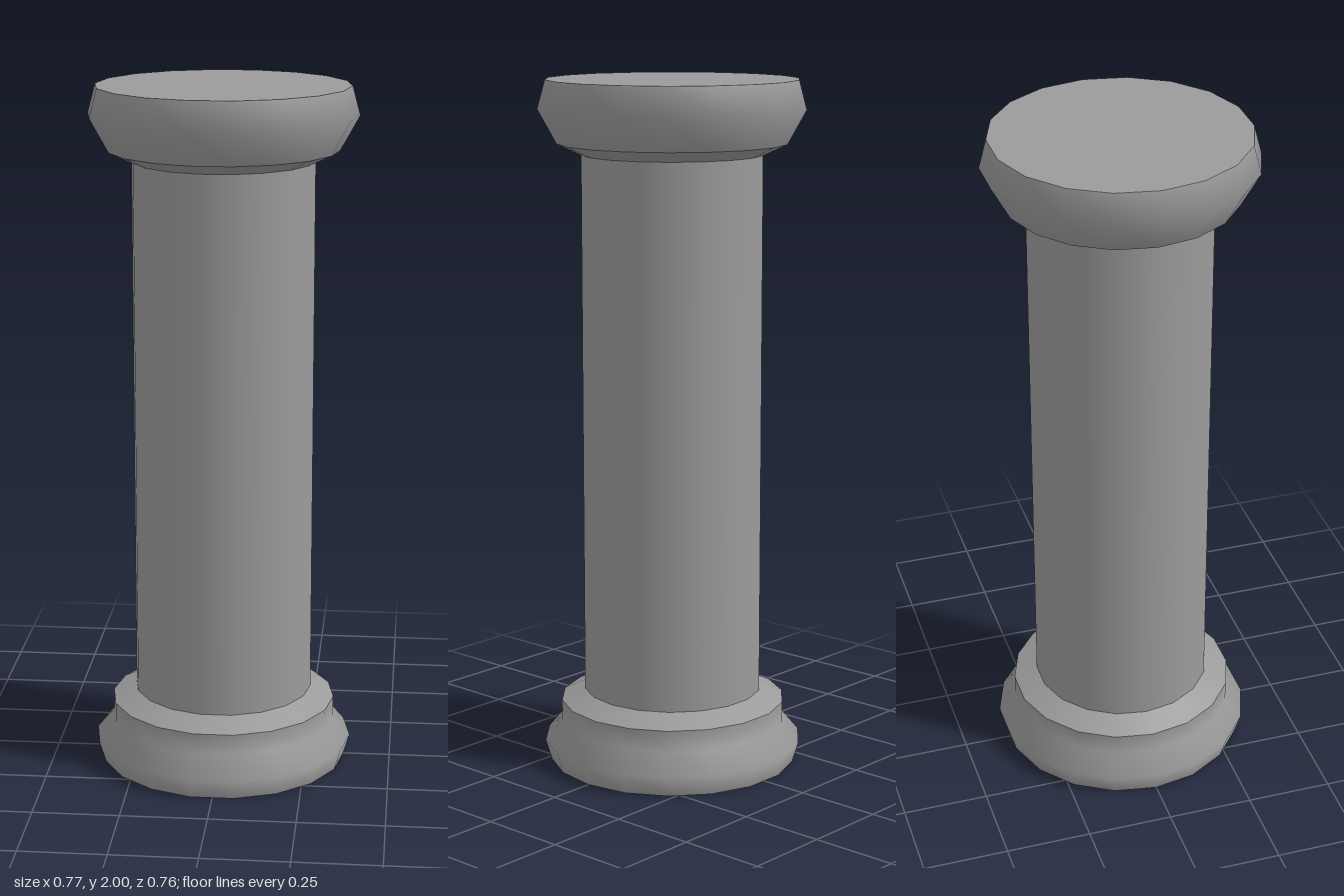
import * as THREE from 'three';

const SIDES = 18;

export function createModel() {
  const column = new THREE.Group();
  column.name = 'column';
  const material = new THREE.MeshStandardMaterial({ color: 0x9b9b9b, side: THREE.DoubleSide });

  // Turned band from [radius, height] points, smooth within itself, creased against its neighbours
  function band(name, points) {
    const profile = points.map(([r, y]) => new THREE.Vector2(r, y));
    const geometry = new THREE.LatheGeometry(profile, SIDES, Math.PI / 2);
    geometry.normalizeNormals();
    const mesh = new THREE.Mesh(geometry, material);
    mesh.name = name;
    column.add(mesh);
  }

  // Hollow base, open underneath
  band('baseMoulding', [[0.362, 0], [0.38, 0.06], [0.33, 0.12], [0.33, 0.182]]);
  band('baseLedge', [[0.33, 0.182], [0.261, 0.215]]);

  // Shaft
  band('shaft', [[0.261, 0.215], [0.261, 1.788]]);

  // Capital
  band('capitalUnderside', [[0.261, 1.788], [0.33, 1.82]]);
  band('capitalMoulding', [[0.33, 1.82], [0.384, 1.918], [0.362, 2]]);

  // Flat top
  const top = new THREE.Mesh(new THREE.CircleGeometry(0.362, SIDES).rotateX(-Math.PI / 2), material);
  top.name = 'capitalTop';
  top.position.y = 2;
  column.add(top);

  return column;
}
